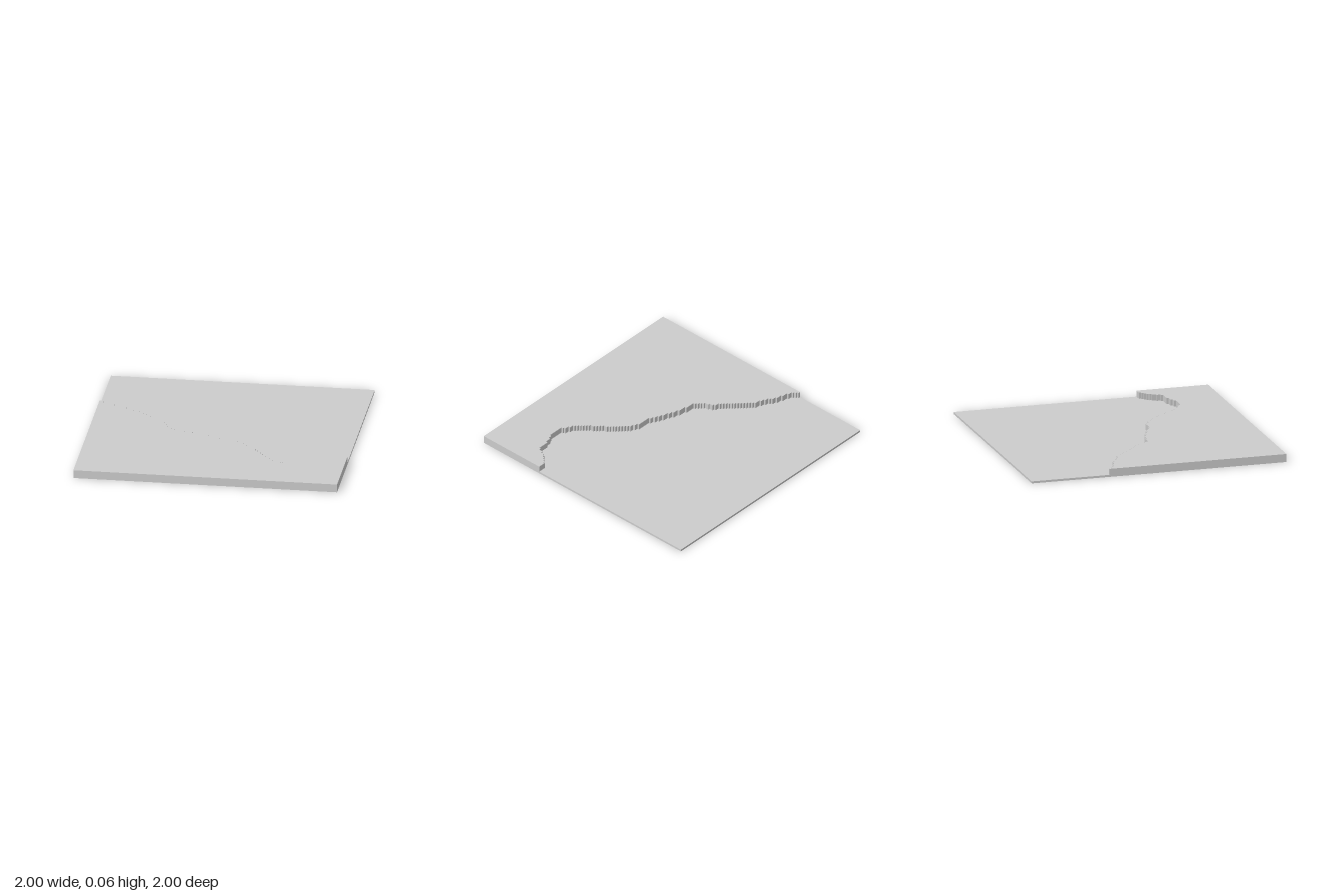
import * as THREE from 'three';

const CELL = 1 / 64; // grid size of the stepped terrain
const BASE = CELL, TOP = 4 * CELL;

// edge of the raised ground, as [x, z]
const EDGE = [
  [-1, -0.39], [-0.92, -0.33], [-0.85, -0.315], [-0.8, -0.29], [-0.73, -0.245],
  [-0.68, -0.23], [-0.62, -0.18], [-0.5, -0.05], [-0.45, -0.02], [-0.41, 0.055],
  [-0.36, 0.1], [-0.32, 0.11], [-0.24, 0.125], [-0.12, 0.17], [0, 0.23],
  [0.1, 0.24], [0.17, 0.27], [0.22, 0.32], [0.3, 0.41], [0.37, 0.5],
  [0.46, 0.59], [0.54, 0.635], [0.65, 0.635], [0.72, 0.605], [0.83, 0.585],
  [0.87, 0.51], [0.94, 0.44], [1, 0.44],
];

// edge position at x, snapped to the grid
function edgeZ(x) {
  const i = Math.max(1, EDGE.findIndex(p => p[0] >= x));
  const [x0, z0] = EDGE[i - 1], [x1, z1] = EDGE[i];
  const z = z0 + (z1 - z0) * (x - x0) / (x1 - x0);
  return Math.round(z / CELL) * CELL;
}

export function createModel() {
  const group = new THREE.Group();
  group.name = 'terrainTile';
  const material = new THREE.MeshStandardMaterial({ color: 0xcccccc, flatShading: true });

  // thin slab under the whole tile
  const base = new THREE.Mesh(new THREE.BoxGeometry(2, BASE, 2), material);
  base.name = 'baseSlab';
  base.position.y = BASE / 2;
  group.add(base);

  // raised ground with a stepped cliff; shape y is -z
  const shape = new THREE.Shape();
  shape.moveTo(-1, -1);
  shape.lineTo(1, -1);
  let last = null;
  for (let i = 127; i >= 0; i--) {
    const x = -1 + i * CELL;
    const z = edgeZ(x + CELL / 2);
    if (z !== last) {
      if (last !== null) shape.lineTo(x + CELL, -last);
      shape.lineTo(x + CELL, -z);
      last = z;
    }
  }
  shape.lineTo(-1, -last);
  shape.closePath();
  const ground = new THREE.ExtrudeGeometry(shape, { depth: TOP - BASE, bevelEnabled: false });
  ground.rotateX(-Math.PI / 2).translate(0, BASE, 0);
  const raised = new THREE.Mesh(ground, material);
  raised.name = 'raisedGround';
  group.add(raised);

  return group;
}
